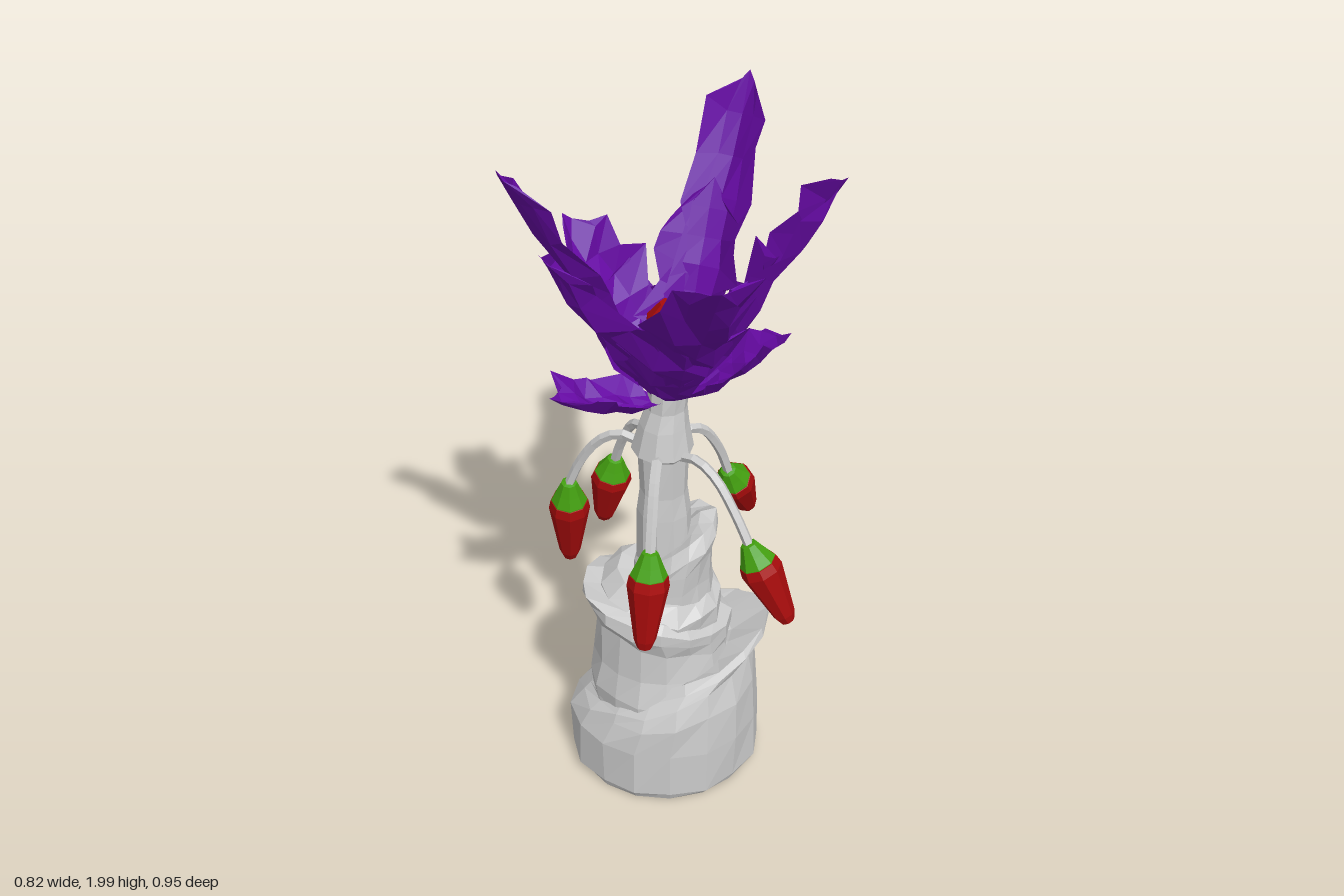
import * as THREE from 'three';

const mat = (color) => new THREE.MeshStandardMaterial({ color, flatShading: true, side: THREE.DoubleSide });
const grey = mat(0xcccccc), purple = mat(0x660aa4), red = mat(0xa80c0c), green = mat(0x44a010);
const V = (x, y, z) => new THREE.Vector3(x, y, z);

// small repeatable noise in -1..1
const noise = (n) => { const s = Math.sin(n * 127.1 + 3.7) * 43758.5453; return (s - Math.floor(s)) * 2 - 1; };

function meshFrom(points, index, material, name) {
  const g = new THREE.BufferGeometry();
  g.setAttribute('position', new THREE.Float32BufferAttribute(points.flatMap((p) => p.toArray()), 3));
  g.setIndex(index);
  g.computeVertexNormals();
  const m = new THREE.Mesh(g, material);
  m.name = name;
  return m;
}

// closed loft of rings [y, cx, cz, rx, rz, lift]; lift raises the ring towards angle `dir`
function loft(rings, dir, sides, rough, material, name) {
  const pts = [], idx = [];
  rings.forEach(([y, cx, cz, rx, rz, lift = 0], i) => {
    for (let j = 0; j < sides; j++) {
      const a = (j / sides) * Math.PI * 2;
      const k = 1 + (i ? noise(i * 31 + j) * rough : 0);
      const up = lift * (1 + Math.cos(a - dir)) / 2 + (lift ? noise(i * 13 + j * 3) * 0.01 : 0);
      pts.push(V(cx + rx * k * Math.cos(a), y + up, cz + rz * k * Math.sin(a)));
    }
  });
  for (let i = 0; i < rings.length - 1; i++) for (let j = 0; j < sides; j++) {
    const a = i * sides + j, b = i * sides + (j + 1) % sides;
    idx.push(a, a + sides, b, b, a + sides, b + sides);
  }
  const last = rings.length - 1, n = pts.length;
  const [y0, x0, z0] = rings[0], [y1, x1, z1, , , l1 = 0] = rings[last];
  pts.push(V(x0, y0, z0), V(x1, y1 + l1 * 0.5, z1));
  for (let j = 0; j < sides; j++) {
    const k = (j + 1) % sides;
    idx.push(n, j, k, n + 1, last * sides + k, last * sides + j);
  }
  return meshFrom(pts, idx, material, name);
}

// cupped leaf with a ragged edge and blunt end, running from base to tip
const PROFILE = [0.22, 0.5, 0.75, 0.95, 0.8, 1, 0.78, 0.85, 0.35];
function leaf(base, tip, width, sag, seed, name) {
  const mid = base.clone().lerp(tip, 0.5);
  mid.y -= sag;
  const curve = new THREE.QuadraticBezierCurve3(base, mid, tip);
  const pts = [], idx = [], cols = 5, n = PROFILE.length;
  const out = tip.clone().sub(base);
  const side = V(out.z, 0, -out.x).normalize();
  PROFILE.forEach((w, i) => {
    const t = i / (n - 1), dir = curve.getTangent(t);
    const normal = dir.clone().cross(side);
    for (let j = 0; j < cols; j++) {
      const u = (j / (cols - 1)) * 2 - 1;
      const rim = Math.abs(u) === 1;
      const half = width * 0.5 * w * (rim ? 1 + 0.18 * noise(seed * 53 + i * 7 + j) : 1);
      const cup = half * (0.55 * u * u + 0.15 * noise(seed * 17 + i * 5 + j));
      const slide = i === n - 1 ? -0.05 * Math.abs(u) : rim ? 0.035 * noise(seed + i * 3 + j) : 0;
      pts.push(curve.getPoint(t)
        .addScaledVector(side, u * half)
        .addScaledVector(normal, cup)
        .addScaledVector(dir, slide));
    }
  });
  for (let i = 0; i < n - 1; i++) for (let j = 0; j < cols - 1; j++) {
    const a = i * cols + j;
    idx.push(a, a + 1, a + cols, a + 1, a + cols + 1, a + cols);
  }
  return meshFrom(pts, idx, purple, name);
}

// hanging pepper: arched stalk, green cap and tapered red fruit
function pepper(top, tip) {
  const g = new THREE.Group();
  g.name = 'hangingPepper';
  const hub = V(-0.025, 1.07, -0.1);
  const flat = V(top.x - hub.x, 0, top.z - hub.z);
  const at = (s, y) => V(hub.x + flat.x * s, y, hub.z + flat.z * s);
  const path = new THREE.CatmullRomCurve3([at(0.15, 1.07), at(0.4, 1.09), at(0.62, 1.06), at(0.86, 0.97), top]);
  const stalk = new THREE.Mesh(new THREE.TubeGeometry(path, 10, 0.014, 5), grey);
  stalk.name = 'stalk';

  const pod = new THREE.Group();
  const length = top.distanceTo(tip);
  const lathe = (pts, material, name) => {
    const m = new THREE.Mesh(new THREE.LatheGeometry(pts.map(([r, y]) => new THREE.Vector2(r, y * length)), 8), material);
    m.name = name;
    pod.add(m);
  };
  lathe([[0, -1], [0.02, -0.99], [0.03, -0.9], [0.044, -0.6], [0.057, -0.32], [0.052, -0.22], [0, -0.16]], red, 'fruit');
  lathe([[0.05, -0.3], [0.05, -0.21], [0.036, -0.1], [0.022, 0.02], [0, 0.04]], green, 'cap');
  pod.position.copy(top);
  pod.quaternion.setFromUnitVectors(V(0, -1, 0), tip.clone().sub(top).normalize());
  pod.name = 'pod';
  g.add(stalk, pod);
  return g;
}

export function createModel() {
  const model = new THREE.Group();
  model.name = 'plant';

  // trunk: stacked sheaths whose slanted lips alternate sides
  const trunk = new THREE.Group();
  trunk.name = 'trunk';
  trunk.add(
    loft([
      [0.01, -0.02, -0.1, 0.25, 0.24], [0.035, -0.02, -0.1, 0.268, 0.255], [0.18, -0.02, -0.1, 0.268, 0.255],
      [0.23, -0.005, -0.1, 0.245, 0.25, 0.1], [0.25, 0.0, -0.1, 0.23, 0.23, 0.17],
      [0.27, 0.025, -0.1, 0.25, 0.21, 0.21], [0.295, 0.025, -0.1, 0.245, 0.19, 0.21], [0.29, 0, -0.1, 0.17, 0.16, 0.15],
    ], 0, 16, 0.03, grey, 'lowerSheath'),
    loft([
      [0.22, -0.03, -0.1, 0.19, 0.2], [0.32, -0.03, -0.1, 0.2, 0.21], [0.4, -0.025, -0.095, 0.19, 0.185],
      [0.45, -0.025, -0.09, 0.18, 0.17, 0.08], [0.47, -0.04, -0.09, 0.205, 0.185, 0.13],
      [0.51, -0.04, -0.09, 0.208, 0.185, 0.13], [0.54, -0.03, -0.09, 0.16, 0.155, 0.1],
    ], Math.PI * 0.95, 16, 0.04, grey, 'middleSheath'),
    loft([
      [0.48, -0.03, -0.085, 0.16, 0.15], [0.55, -0.03, -0.085, 0.165, 0.155, 0.05],
      [0.59, -0.03, -0.085, 0.165, 0.158, 0.07], [0.63, -0.02, -0.09, 0.125, 0.13, 0.06],
    ], -Math.PI * 0.7, 14, 0.03, grey, 'foldRing'),
    loft([
      [0.55, -0.01, -0.1, 0.135, 0.135], [0.64, -0.005, -0.1, 0.115, 0.13, 0.04], [0.68, 0.005, -0.1, 0.108, 0.128, 0.09],
      [0.695, 0.015, -0.1, 0.113, 0.128, 0.13], [0.73, 0.02, -0.1, 0.102, 0.1, 0.13], [0.73, 0.01, -0.1, 0.07, 0.07, 0.12],
    ], 0, 14, 0.03, grey, 'upperSheath'),
    loft([
      [0.6, -0.015, -0.1, 0.08, 0.08], [0.88, -0.02, -0.1, 0.072, 0.076], [0.95, -0.02, -0.1, 0.064, 0.07],
      [1.07, -0.02, -0.1, 0.068, 0.074], [1.08, -0.022, -0.1, 0.082, 0.085], [1.16, -0.018, -0.1, 0.066, 0.07],
      [1.21, -0.01, -0.1, 0.053, 0.056], [1.27, -0.005, -0.1, 0.055, 0.055],
    ], 0, 10, 0.03, grey, 'stem'),
  );
  model.add(trunk);

  // hanging peppers: cap top and fruit tip
  const peppers = [
    [V(-0.27, 0.88, -0.22), V(-0.275, 0.59, -0.27)],
    [V(-0.14, 0.89, -0.31), V(-0.175, 0.66, -0.355)],
    [V(-0.07, 0.9, 0.13), V(-0.09, 0.62, 0.175)],
    [V(0.19, 0.9, 0.11), V(0.295, 0.67, 0.15)],
    [V(0.17, 0.88, -0.25), V(0.24, 0.68, -0.35)],
  ];
  peppers.forEach(([top, tip]) => model.add(pepper(top, tip)));

  // crown leaves: tip, width, sag
  const crown = new THREE.Group();
  crown.name = 'crown';
  const tall = [
    [V(0.07, 1.88, 0.47), 0.25, 0.03],
    [V(0.23, 1.96, -0.48), 0.19, 0.04],
    [V(0.41, 1.91, 0.02), 0.23, 0.05],
    [V(-0.41, 2.0, 0.1), 0.19, 0.05],
    [V(-0.26, 1.67, -0.3), 0.26, 0.03],
  ];
  const low = [
    [V(-0.31, 1.36, 0.07), 0.18, 0.05],
    [V(0.3, 1.45, -0.04), 0.17, 0.05],
    [V(0.07, 1.35, -0.43), 0.14, 0.03],
    [V(0.13, 1.6, 0.08), 0.2, 0.02],
  ];
  const centre = V(0, 1.24, -0.1);
  const rootOf = (tip, y, r) => {
    const d = V(tip.x - centre.x, 0, tip.z - centre.z).normalize().multiplyScalar(r);
    return V(centre.x + d.x, y, centre.z + d.z);
  };
  tall.forEach(([tip, w, sag], i) => {
    const root = rootOf(tip, 1.24, 0.04);
    crown.add(leaf(root, tip, w, sag, i + 1, 'tallLeaf'));
    // shorter, wider leaf overlapping the lower part
    const short = root.clone().lerp(tip, 0.68);
    short.x -= 0.03;
    short.y -= 0.01;
    crown.add(leaf(root, short, w * 1.2, sag + 0.01, i + 21, 'overlappingLeaf'));
  });
  low.forEach(([tip, w, sag], i) => crown.add(leaf(rootOf(tip, 1.23, 0.02), tip, w, sag, i + 41, 'lowLeaf')));
  model.add(crown);

  // red bud inside the crown
  model.add(loft([
    [1.26, 0, -0.11, 0.03, 0.03], [1.33, 0, -0.11, 0.065, 0.065], [1.4, 0, -0.11, 0.075, 0.07],
    [1.47, 0, -0.11, 0.06, 0.06], [1.51, 0, -0.11, 0.025, 0.025],
  ], 0, 9, 0.16, red, 'bud'));

  return model;
}
